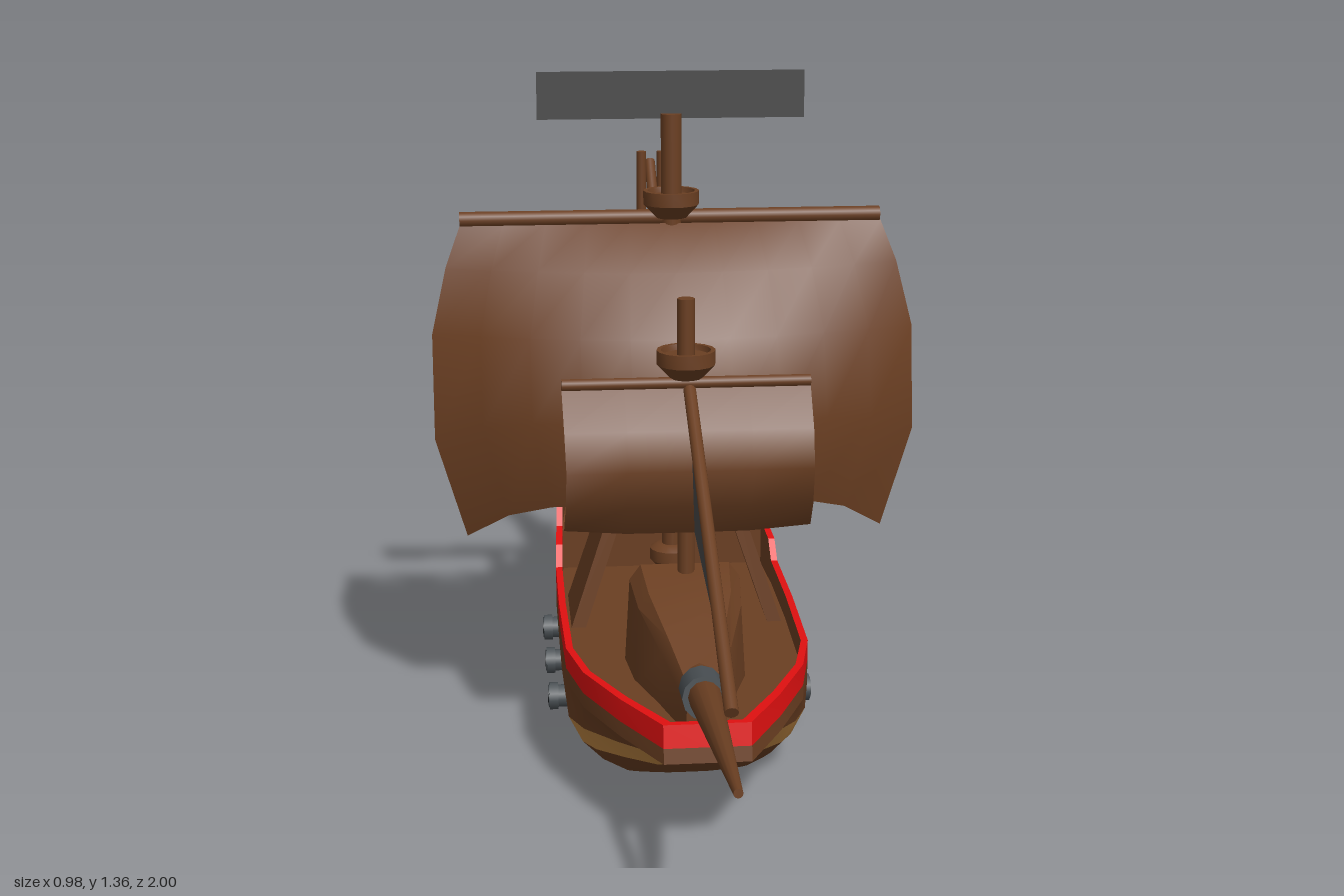
import * as THREE from 'three';
import { toCreasedNormals } from 'three/addons/utils/BufferGeometryUtils.js';

const mat = (name, color, side = THREE.FrontSide) => {
  const m = new THREE.MeshStandardMaterial({ color, side });
  m.name = name;
  return m;
};
const lerp = THREE.MathUtils.lerp;

// Piecewise linear lookup in a list of [key, value]
function lookup(table, k) {
  for (let i = 1; i < table.length; i++) {
    const [k0, v0] = table[i - 1], [k1, v1] = table[i];
    if (k <= k1) return lerp(v0, v1, Math.max(0, (k - k0) / (k1 - k0)));
  }
  return table[table.length - 1][1];
}

export function createModel() {
  const ship = new THREE.Group();
  ship.name = 'sailingShip';
  const wood = mat('woodBrown', 0x6b3f22);
  const cloth = mat('sailBrown', 0x6b3f22, THREE.DoubleSide);
  const tan = mat('stripeTan', 0xc48a45);
  const red = mat('railRed', 0xe01010);
  const iron = mat('ironGrey', 0x4a5054);
  const bore = mat('boreBlack', 0x1c1e20);
  const greyCloth = mat('greyCloth', 0x4a4a4a, THREE.DoubleSide);

  const add = (name, geo, material, x = 0, y = 0, z = 0) => {
    const m = new THREE.Mesh(geo, material);
    m.name = name;
    m.position.set(x, y, z);
    ship.add(m);
    return m;
  };
  // Round bar between two points
  const pole = (name, a, b, r0, r1 = r0, material = wood, sides = 12) => {
    const A = new THREE.Vector3(...a), B = new THREE.Vector3(...b), d = B.clone().sub(A);
    const m = add(name, new THREE.CylinderGeometry(r1, r0, d.length(), sides), material);
    m.position.copy(A).add(B).multiplyScalar(0.5);
    m.quaternion.setFromUnitVectors(new THREE.Vector3(0, 1, 0), d.normalize());
    return m;
  };
  const lathe = (name, pts, z) => add(name, toCreasedNormals(
    new THREE.LatheGeometry(pts.map(p => new THREE.Vector2(...p)), 16), 0.6), wood, 0, 0, z);
  // Box whose unit corners are moved by a rule
  const shapedBox = (name, segs, rule) => {
    const g = new THREE.BoxGeometry(1, 1, 1, ...segs), p = g.attributes.position;
    for (let i = 0; i < p.count; i++) p.setXYZ(i, ...rule(p.getX(i), p.getY(i) + 0.5, p.getZ(i) + 0.5));
    return add(name, toCreasedNormals(g, 0.5), wood);
  };

  // Hull stations: z, half width, rim, red bottom, stripe top, stripe bottom, deck
  const aft = [0.43, 0.39, 0.31, 0.25, 0.42], waist = [0.27, 0.228, 0.228, 0.228, 0.22];
  const stations = [
    [-1, 0, ...aft], [-0.99, 0.07, ...aft], [-0.965, 0.145, ...aft], [-0.8, 0.21, ...aft],
    [-0.64, 0.222, ...aft], [-0.64, 0.222, 0.43, 0.39, 0.31, 0.25, 0.33],
    [-0.5, 0.235, 0.39, 0.335, 0.31, 0.25, 0.32], [-0.46, 0.238, 0.32, 0.295, 0.295, 0.25, 0.31],
    [-0.46, 0.238, 0.32, 0.295, 0.295, 0.25, 0.22], [-0.36, 0.242, 0.31, 0.285, 0.285, 0.25, 0.22],
    [-0.325, 0.244, ...waist], [-0.1, 0.245, ...waist], [0.15, 0.24, ...waist],
    [0.28, 0.212, ...waist], [0.42, 0.15, ...waist], [0.55, 0.08, ...waist], [0.55, 0, ...waist],
  ];
  // Where stem and stern lie at each height
  const stem = [[0, 0.16], [0.03, 0.22], [0.07, 0.27], [0.125, 0.34], [0.18, 0.4], [0.2, 0.55], [0.27, 0.535]];
  const stern = [[0, -0.58], [0.03, -0.63], [0.07, -0.67], [0.13, -0.7], [0.18, -0.78],
    [0.23, -0.83], [0.31, -0.975], [0.43, -1]];
  const hullPoint = (s, y, f, inset = 0) => {
    let z = s[0];
    if (z > 0.15) z = lerp(0.15, lookup(stem, y) - inset, (z - 0.15) / 0.4);
    if (z < -0.5) z = lerp(-0.5, lookup(stern, y) + inset, (-0.5 - z) / 0.5);
    return [Math.max(0, s[1] * f - inset), y, z];
  };
  const low = (y, f) => s => hullPoint(s, y, f);
  const rim = s => hullPoint(s, s[2], 1);
  const innerRim = s => hullPoint(s, s[2], 1, 0.014);
  const deckEdge = s => { const p = innerRim(s); return [p[0], s[6], p[2]]; };
  // Skin between successive rows, mirrored to both sides
  const skin = (name, rows, material) => {
    const v = [], A = new THREE.Vector3(), B = new THREE.Vector3();
    const tri = (a, b, c) => {
      A.fromArray(b).sub(new THREE.Vector3(...a));
      B.fromArray(c).sub(new THREE.Vector3(...a));
      if (A.cross(B).length() > 1e-8) v.push(...a, ...b, ...c);
    };
    for (const side of [1, -1])
      for (let j = 0; j + 1 < rows.length; j++)
        for (let i = 0; i + 1 < stations.length; i++) {
          const P = (r, k) => { const p = rows[r](stations[k]); return [p[0] * side, p[1], p[2]]; };
          const q = [P(j, i), P(j + 1, i), P(j + 1, i + 1), P(j, i + 1)];
          if (side < 0) q.reverse();
          tri(q[0], q[1], q[2]);
          tri(q[0], q[2], q[3]);
        }
    const g = new THREE.BufferGeometry();
    g.setAttribute('position', new THREE.Float32BufferAttribute(v, 3));
    add(name, toCreasedNormals(g, 0.7), material);
  };
  const stripeLow = s => hullPoint(s, s[5], 1), stripeTop = s => hullPoint(s, s[4], 1);
  const redLow = s => hullPoint(s, s[3], 1);
  skin('hullBottom', [low(0, 0), low(0.004, 0.5), low(0.03, 0.7), low(0.07, 0.87)], wood);
  skin('lowerStripe', [low(0.07, 0.87), low(0.125, 0.985)], tan);
  skin('hullSide', [low(0.125, 0.985), low(0.18, 1), low(0.2, 1), stripeLow], wood);
  skin('upperStripe', [stripeLow, stripeTop], tan);
  skin('sternSide', [stripeTop, redLow], wood);
  skin('redRail', [redLow, rim, innerRim], red);
  skin('deck', [innerRim, deckEdge, s => { const p = deckEdge(s); return [0, p[1], p[2]]; }], wood);

  // Forecastle, narrowing and sloping to the bow
  const castle = [[0.09, 0.11, 0.418], [0.2, 0.1, 0.397], [0.32, 0.065, 0.35], [0.46, 0.03, 0.3]];
  shapedBox('forecastle', [1, 2, 3], (x, y, z) => {
    const [cz, w, top] = castle[Math.round(z * 3)];
    const h = y > 0.9 ? top : y > 0.4 ? top - 0.03 : 0.2;
    return [x * 2 * w * (y > 0.9 ? 0.8 : y > 0.4 ? 1 : 1.1), h, cz];
  });

  // Bowsprit
  pole('bowsprit', [0, 0.29, 0.38], [0, 0.357, 1], 0.036, 0.008);
  pole('bowspritBand', [0, 0.292, 0.42], [0, 0.3, 0.49], 0.042, 0.042, iron);

  // Masts, lookouts and collar
  const lookout = (name, y, r, h, z) => lathe(name,
    [[0, y], [r * 0.55, y], [r, y + h * 0.5], [r, y + h], [r * 0.85, y + h], [r * 0.8, y + h * 0.8], [0, y + h * 0.8]], z);
  pole('mainMast', [0, 0.2, -0.21], [0, 1.27, -0.21], 0.021);
  lookout('mainLookout', 1.06, 0.057, 0.055, -0.21);
  lookout('mainPlatform', 0.575, 0.094, 0.07, -0.205);
  lathe('mainMastCollar', [[0.034, 0.21], [0.032, 0.31], [0.046, 0.325], [0.046, 0.35], [0.03, 0.36], [0, 0.36]], -0.21);
  pole('foreMast', [0, 0.25, 0.115], [0, 0.96, 0.115], 0.017);
  lookout('foreLookout', 0.805, 0.057, 0.055, 0.115);
  for (const s of [1, -1]) {
    // Slanting shroud plates
    shapedBox('shroud', [1, 1, 1], (x, y, z) => [
      s * lerp(0.205, 0.078, y) + x * 0.03, lerp(0.22, 0.6, y), lerp(-0.185, -0.195, y) + (z - 0.5) * lerp(0.195, 0.15, y)]);
    // Twin stern masts
    pole('sternMast', [s * 0.023, 0.41, -0.737], [s * 0.023, 1.12, -0.737], 0.011);
    pole('sternMastBand', [s * 0.023, 0.52, -0.737], [s * 0.023, 0.555, -0.737], 0.019, 0.019, iron);
    // Cannons
    for (const z of [-0.02, -0.215, -0.41]) {
      pole('cannon', [s * 0.19, 0.098, z], [s * 0.272, 0.098, z], 0.023, 0.023, iron);
      pole('cannonRing', [s * 0.252, 0.098, z], [s * 0.27, 0.098, z], 0.028, 0.028, iron);
      pole('cannonBore', [s * 0.27, 0.098, z], [s * 0.273, 0.098, z], 0.014, 0.014, bore);
    }
  }

  // Yards and booms
  pole('mainYard', [-0.43, 1.06, -0.215], [0.43, 1.06, -0.215], 0.016);
  pole('foreYard', [-0.24, 0.797, 0.125], [0.24, 0.797, 0.125], 0.012);
  pole('jibBoom', [0, 0.45, 0.9], [0, 0.8, 0.19], 0.012);
  pole('sternGaff', [0, 0.66, -0.23], [0, 1.09, -0.783], 0.012);
  pole('sternBoom', [0, 0.665, -0.23], [0, 0.738, -0.875], 0.012);

  // Square sails, rows: centre y, edge y, centre z, edge z, half width
  const sail = (name, rows, cols) => {
    const g = new THREE.PlaneGeometry(1, 1, cols, rows.length - 1), p = g.attributes.position;
    for (let i = 0; i < p.count; i++) {
      const u = p.getX(i) * 2;
      const [yc, ye, zc, ze, w] = rows[Math.floor(i / (cols + 1))];
      p.setXYZ(i, u * w, lerp(yc, ye, u ** 4), lerp(zc, ze, u * u));
    }
    g.computeVertexNormals();
    add(name, g, cloth);
  };
  sail('mainSail', [
    [1.05, 1.05, -0.195, -0.195, 0.43], [0.97, 0.97, -0.08, -0.17, 0.46], [0.85, 0.84, 0.0, -0.14, 0.49],
    [0.7, 0.63, 0.08, -0.105, 0.49], [0.52, 0.42, 0.035, -0.115, 0.43]], 10);
  sail('foreSail', [
    [0.79, 0.79, 0.13, 0.13, 0.24], [0.72, 0.72, 0.195, 0.195, 0.238], [0.65, 0.65, 0.228, 0.228, 0.236],
    [0.57, 0.57, 0.2, 0.2, 0.238], [0.505, 0.515, 0.157, 0.157, 0.24]], 4);

  // Triangular sails on the centreline
  const triSail = (name, pts) => {
    const g = new THREE.ShapeGeometry(new THREE.Shape(pts.map(([z, y]) => new THREE.Vector2(-z, y))));
    add(name, g.rotateY(Math.PI / 2), greyCloth);
  };
  triSail('jibSail', [[0.84, 0.475], [0.205, 0.785], [0.29, 0.55]]);
  triSail('sternSail', [[-0.24, 0.67], [-0.745, 1.055], [-0.825, 0.735]]);

  // Flag
  add('flag', new THREE.PlaneGeometry(0.54, 0.095), greyCloth, 0, 1.308, -0.21);
  return ship;
}
